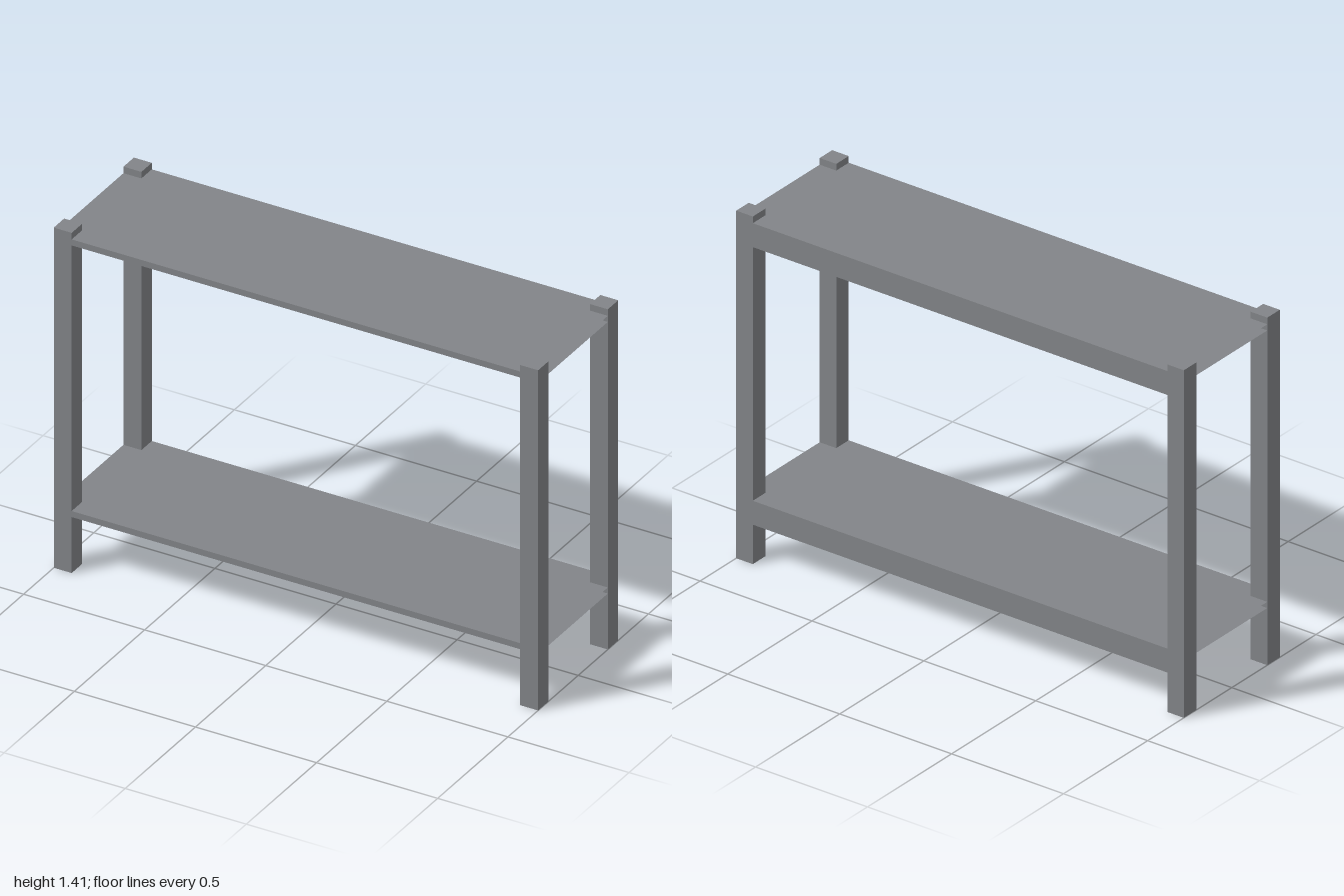
import * as THREE from 'three';

const material = new THREE.MeshStandardMaterial({ color: 0x828488, flatShading: true, side: THREE.DoubleSide });

const HEIGHT = 1.41, HALF_X = 1, HALF_Z = 0.285, LEG = 0.074;
const INNER_X = HALF_X - LEG, INNER_Z = HALF_Z - LEG;
const BOARD = 0.025, APRON = 0.097;

function addMesh(parent, name, geometry, x, y, z) {
  const mesh = new THREE.Mesh(geometry, material);
  mesh.name = name;
  mesh.position.set(x, y, z);
  parent.add(mesh);
}

// Box with some sides left open; sides are ordered +x, -x, +y, -y, +z, -z
function openBox(w, h, d, openSides) {
  const geometry = new THREE.BoxGeometry(w, h, d);
  const index = Array.from(geometry.index.array);
  geometry.setIndex(index.filter((_, i) => !openSides.includes(Math.floor(i / 6))));
  geometry.clearGroups();
  return geometry;
}

// Horizontal sheet notched at the corners to fit round the legs
function notchedSheet(backZ) {
  const points = [
    [-INNER_X, -HALF_Z], [INNER_X, -HALF_Z], [INNER_X, -INNER_Z], [HALF_X, -INNER_Z],
    [HALF_X, INNER_Z], [INNER_X, INNER_Z], [INNER_X, backZ], [-INNER_X, backZ],
    [-INNER_X, INNER_Z], [-HALF_X, INNER_Z], [-HALF_X, -INNER_Z], [-INNER_X, -INNER_Z],
  ];
  const shape = new THREE.Shape(points.map(([x, y]) => new THREE.Vector2(x, y)));
  return new THREE.ShapeGeometry(shape).rotateX(-Math.PI / 2);
}

function createShelf(name, topY) {
  const shelf = new THREE.Group();
  shelf.name = name;
  shelf.position.y = topY;
  addMesh(shelf, 'shelfTop', notchedSheet(HALF_Z), 0, 0, 0);
  // The underside faces down and stops at the inner face of the apron
  const underside = notchedSheet(HALF_Z - BOARD).rotateX(Math.PI).scale(1, 1, -1);
  underside.index.array.reverse();
  addMesh(shelf, 'shelfUnderside', underside, 0, -BOARD, 0);
  addMesh(shelf, 'frontEdge', new THREE.PlaneGeometry(2 * INNER_X, BOARD), 0, -BOARD / 2, HALF_Z);
  // Deep rail along the back, capped by the shelf top and the legs
  addMesh(shelf, 'backApron', openBox(2 * INNER_X, APRON, BOARD, [0, 1, 2]),
    0, -APRON / 2, -HALF_Z + BOARD / 2);
  return shelf;
}

export function createModel() {
  const model = new THREE.Group();
  model.name = 'consoleTable';

  // Four square legs, open underneath
  for (const sx of [-1, 1]) {
    for (const sz of [-1, 1]) {
      const name = (sz > 0 ? 'front' : 'back') + (sx > 0 ? 'Left' : 'Right') + 'Leg';
      addMesh(model, name, openBox(LEG, HEIGHT, LEG, [3]),
        sx * (HALF_X - LEG / 2), HEIGHT / 2, sz * (HALF_Z - LEG / 2));
    }
  }

  // Upper and lower shelves
  model.add(createShelf('upperShelf', 1.383), createShelf('lowerShelf', 0.257));
  return model;
}
